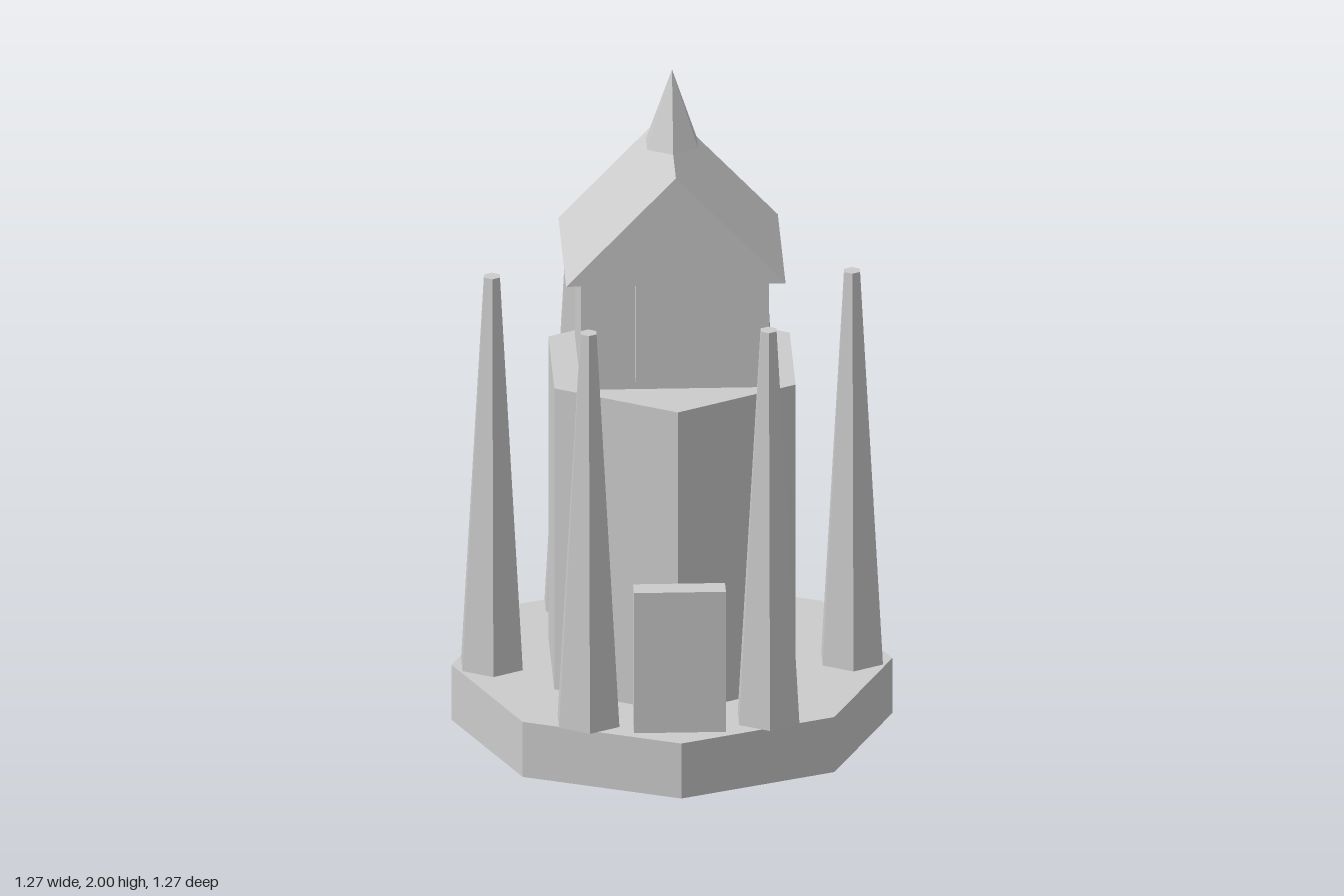
import * as THREE from 'three';

const material = new THREE.MeshStandardMaterial({ color: 0xcccccc, flatShading: true });

function add(parent, name, geometry, x, y, z) {
  const mesh = new THREE.Mesh(geometry, material);
  mesh.name = name;
  mesh.position.set(x, y, z);
  parent.add(mesh);
  return mesh;
}

// Upright prism or tapered column standing on height y0
function column(parent, name, rTop, rBottom, y0, y1, sides, x = 0, z = 0) {
  return add(parent, name, new THREE.CylinderGeometry(rTop, rBottom, y1 - y0, sides), x, (y0 + y1) / 2, z);
}

// Box given by its half width and its y and z ranges
function block(parent, name, halfWidth, y0, y1, z0, z1) {
  return add(parent, name, new THREE.BoxGeometry(halfWidth * 2, y1 - y0, z1 - z0), 0, (y0 + y1) / 2, (z0 + z1) / 2);
}

export function createModel() {
  const model = new THREE.Group();
  model.name = 'tower';

  // Octagonal plinth and hexagonal tower body
  column(model, 'plinth', 0.633, 0.633, 0, 0.17, 8);
  column(model, 'towerBody', 0.4, 0.4, 0.17, 1.1, 6);

  // Six tapered pillars in a ring
  const pillars = new THREE.Group();
  pillars.name = 'pillars';
  model.add(pillars);
  for (let i = 0; i < 6; i++) {
    const a = (i * Math.PI) / 3;
    column(pillars, 'pillar', 0.026, 0.1, 0.17, 1.37, 6, 0.517 * Math.cos(a), 0.517 * Math.sin(a));
  }

  // Door slab standing in front of the body
  block(model, 'door', 0.132, 0.17, 0.603, 0.48, 0.548);

  // Upper house with a front panel flush with the gable
  block(model, 'upperHouse', 0.27, 1.1, 1.44, -0.215, 0.215);
  block(model, 'frontPanel', 0.115, 1.14, 1.44, 0.215, 0.266);

  // Gable roof
  const gable = new THREE.Shape([
    new THREE.Vector2(-0.315, 1.44),
    new THREE.Vector2(0.315, 1.44),
    new THREE.Vector2(0, 1.77),
  ]);
  add(model, 'roof', new THREE.ExtrudeGeometry(gable, { depth: 0.532, bevelEnabled: false }), 0, 0, -0.266);

  // Hexagonal spire on the ridge
  add(model, 'spire', new THREE.ConeGeometry(0.085, 0.23, 6), 0, 1.885, 0);

  return model;
}
